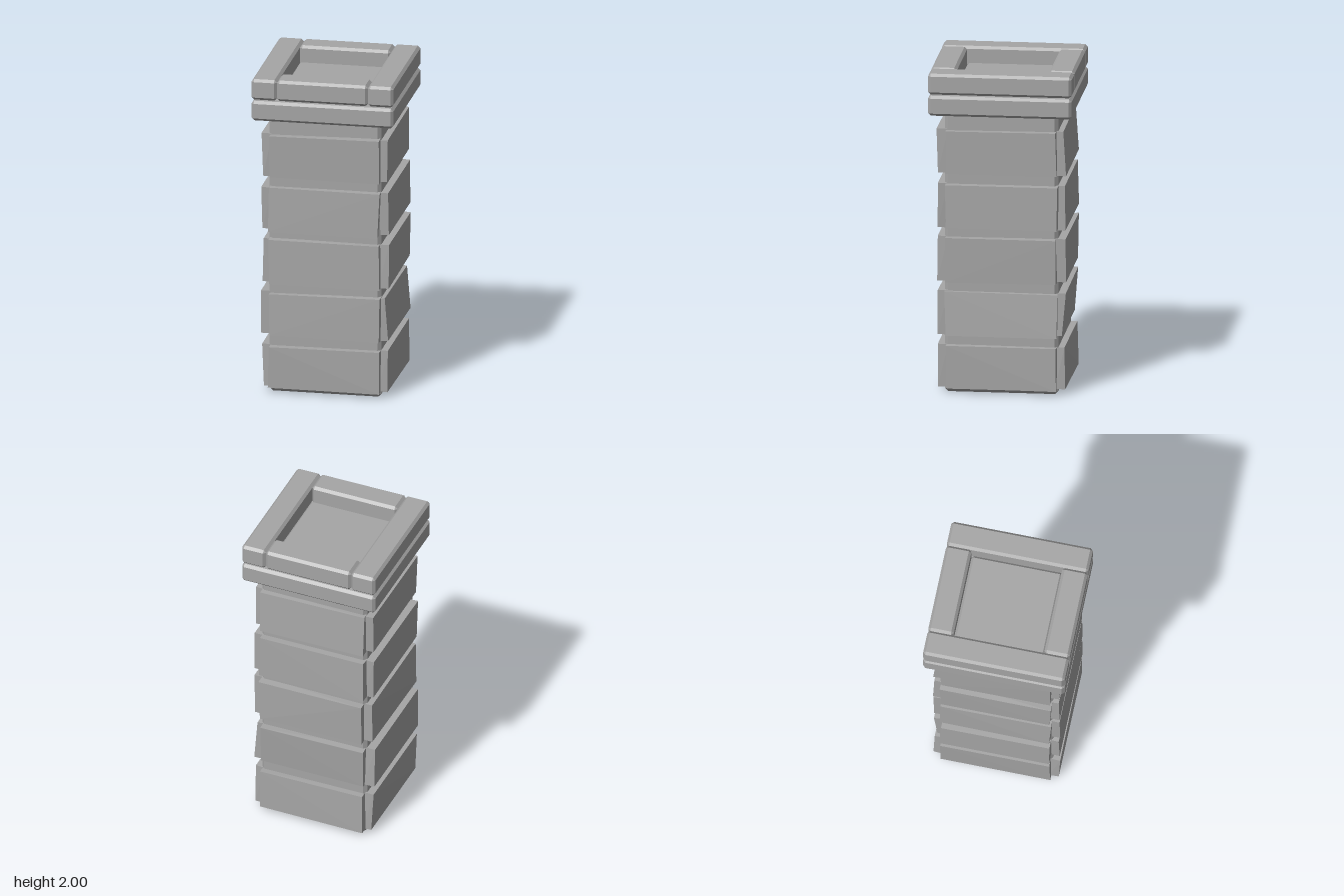
import * as THREE from 'three';
import { ConvexGeometry } from 'three/addons/geometries/ConvexGeometry.js';

export function createModel() {
  const model = new THREE.Group();
  model.name = 'stonePillar';
  const stone = new THREE.MeshStandardMaterial({ color: 0xa6a6a6 });
  stone.name = 'grey stone';
  const signs = [-1, 1];

  // Small repeatable irregularity for the hand-cut bricks
  let seed = 7;
  const jitter = (amount) => {
    seed = (seed * 16807) % 2147483647;
    return (seed / 2147483647 - 0.5) * 2 * amount;
  };

  function add(name, geometry, parent = model) {
    const mesh = new THREE.Mesh(geometry, stone);
    mesh.name = name;
    parent.add(mesh);
    return mesh;
  }

  // Box between two corners with flat chamfered edges
  function chamferBox(name, [x0, y0, z0], [x1, y1, z1], c) {
    const w = (x1 - x0) / 2, h = (y1 - y0) / 2, d = (z1 - z0) / 2;
    const points = [];
    for (const x of signs) for (const y of signs) for (const z of signs) {
      points.push(
        new THREE.Vector3(x * w, y * (h - c), z * (d - c)),
        new THREE.Vector3(x * (w - c), y * h, z * (d - c)),
        new THREE.Vector3(x * (w - c), y * (h - c), z * d));
    }
    const mesh = add(name, new ConvexGeometry(points));
    mesh.position.set((x0 + x1) / 2, (y0 + y1) / 2, (z0 + z1) / 2);
  }

  // Shaft core
  chamferBox('core', [-0.345, 0, -0.345], [0.345, 1.745, 0.345], 0.02);

  // Brick courses: bottom, top, then [lower, upper] reach on +z, +x, -z, -x
  const courses = [
    [0.03, 0.295, [0.385, 0.39], [0.385, 0.385], [0.39, 0.385], [0.375, 0.39]],
    [0.362, 0.63, [0.39, 0.385], [0.39, 0.37], [0.37, 0.39], [0.395, 0.395]],
    [0.695, 0.968, [0.39, 0.385], [0.39, 0.395], [0.39, 0.39], [0.385, 0.38]],
    [1.027, 1.298, [0.39, 0.385], [0.39, 0.388], [0.39, 0.385], [0.385, 0.395]],
    [1.365, 1.635, [0.385, 0.395], [0.38, 0.385], [0.39, 0.375], [0.385, 0.39]],
  ];
  const faceNames = ['front', 'left', 'back', 'right'];
  courses.forEach(([y0, y1, ...reach], row) => {
    const course = new THREE.Group();
    course.name = `brickCourse${row + 1}`;
    model.add(course);
    reach.forEach((depths, k) => {
      const points = [];
      for (const side of signs) [y0, y1].forEach((y, i) => {
        const x = side * 0.338 + jitter(0.007), yy = y + jitter(0.005);
        points.push(
          new THREE.Vector3(x, yy, depths[i] + jitter(0.003)),
          new THREE.Vector3(x + jitter(0.005), yy + jitter(0.003), 0.325));
      });
      add(`${faceNames[k]}Brick`, new ConvexGeometry(points), course).rotation.y = k * Math.PI / 2;
    });
  });

  // Cap slab and sunken panel
  chamferBox('capSlab', [-0.437, 1.738, -0.437], [0.437, 1.862, 0.437], 0.016);
  chamferBox('sunkenPanel', [-0.282, 1.85, -0.282], [0.282, 1.9, 0.282], 0.016);

  // Raised rim of four bars
  for (const s of signs) {
    const [a, b] = s > 0 ? [0.28, 0.437] : [-0.437, -0.28];
    chamferBox(s > 0 ? 'leftRimBar' : 'rightRimBar', [a, 1.87, -0.437], [b, 2, 0.437], 0.016);
    chamferBox(s > 0 ? 'frontRimBar' : 'backRimBar', [-0.28, 1.87, a], [0.28, 2, b], 0.016);
  }
  return model;
}
